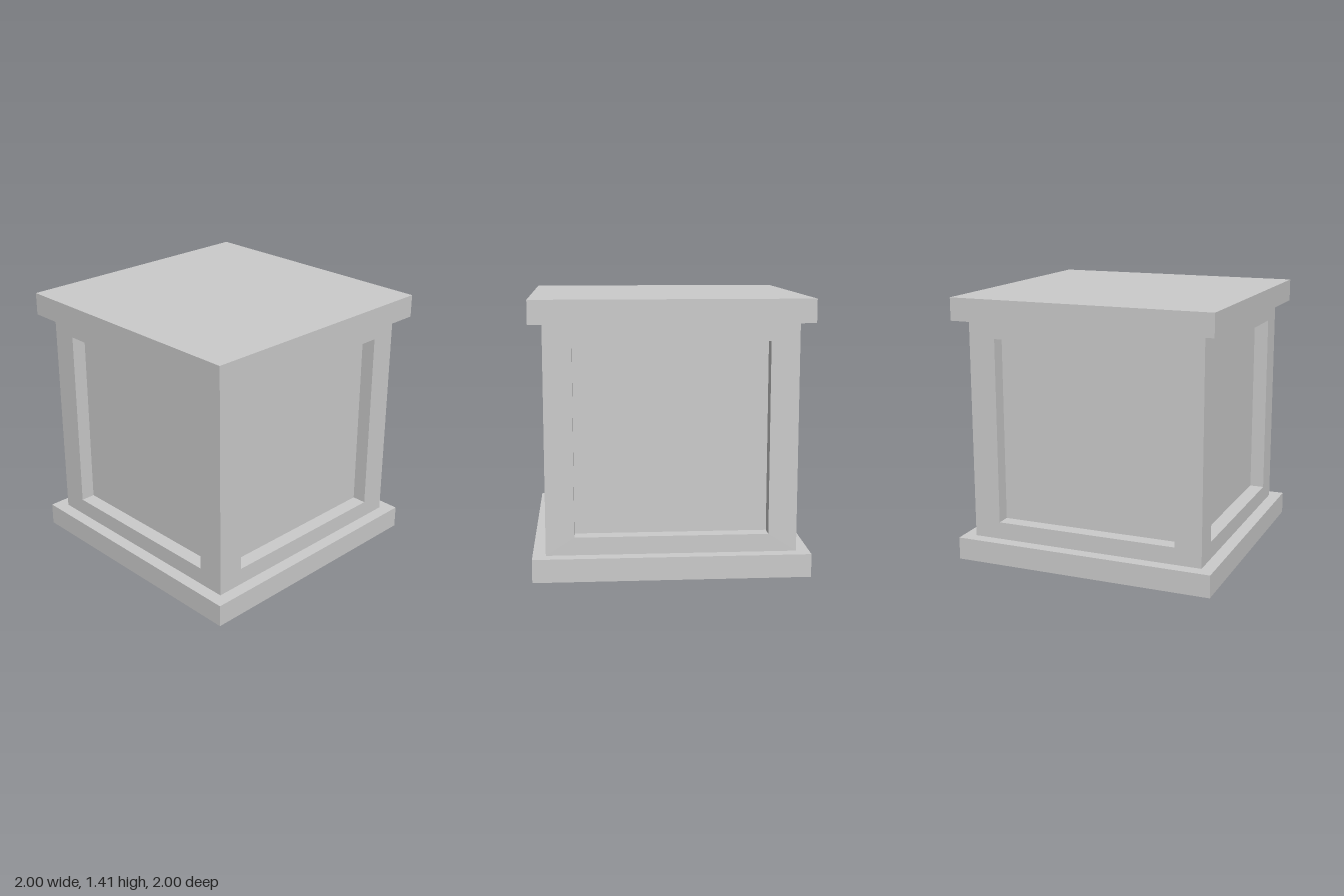
import * as THREE from 'three';

const SLAB = Math.SQRT2;    // side of the square base and lid
const SLAB_H = 0.12;
const HEIGHT = 1.414;
const HALF = 0.64;          // half width of the body
const OPEN = 0.495;         // half width of each panel opening
const DEPTH = 0.078;        // how far the panels are recessed

// Window-like frame, mitred at its ends so four of them meet at the corners
function frameGeometry(y0, y1, open0, open1) {
  const rect = (path, w, a, b) =>
    path.moveTo(-w, a).lineTo(w, a).lineTo(w, b).lineTo(-w, b).closePath();
  const shape = rect(new THREE.Shape(), HALF, y0, y1);
  shape.holes.push(rect(new THREE.Path(), OPEN, open0, open1));
  const geo = new THREE.ExtrudeGeometry(shape, { depth: DEPTH, bevelEnabled: false });
  const p = geo.attributes.position;
  for (let i = 0; i < p.count; i++) {
    const x = p.getX(i);
    if (p.getZ(i) < DEPTH / 2 && Math.abs(x) > OPEN + 0.01) p.setX(i, Math.sign(x) * (HALF - DEPTH));
  }
  geo.translate(0, 0, HALF - DEPTH);
  geo.computeVertexNormals();
  return geo;
}

export function createModel() {
  const group = new THREE.Group();
  group.name = 'crate';
  const material = new THREE.MeshStandardMaterial({ color: 0xcccccc, flatShading: true });
  const add = (name, geometry, y = 0) => {
    const mesh = new THREE.Mesh(geometry, material);
    mesh.name = name;
    mesh.position.y = y;
    group.add(mesh);
    return mesh;
  };

  // Base and lid slabs
  const slab = new THREE.BoxGeometry(SLAB, SLAB_H, SLAB);
  add('base', slab, SLAB_H / 2);
  add('lid', slab, HEIGHT - SLAB_H / 2);

  // Inner box whose sides are the recessed panels
  const inner = 2 * (HALF - DEPTH);
  add('panels', new THREE.BoxGeometry(inner, HEIGHT - 2 * SLAB_H, inner), HEIGHT / 2);

  // Raised frame around each panel
  const frame = frameGeometry(SLAB_H, HEIGHT - SLAB_H, HEIGHT / 2 - OPEN, HEIGHT / 2 + OPEN);
  for (let i = 0; i < 4; i++) add('sideFrame' + (i + 1), frame).rotation.y = (i * Math.PI) / 2;

  // The crate stands with a corner towards the front
  group.rotation.y = Math.PI / 4;
  return group;
}
